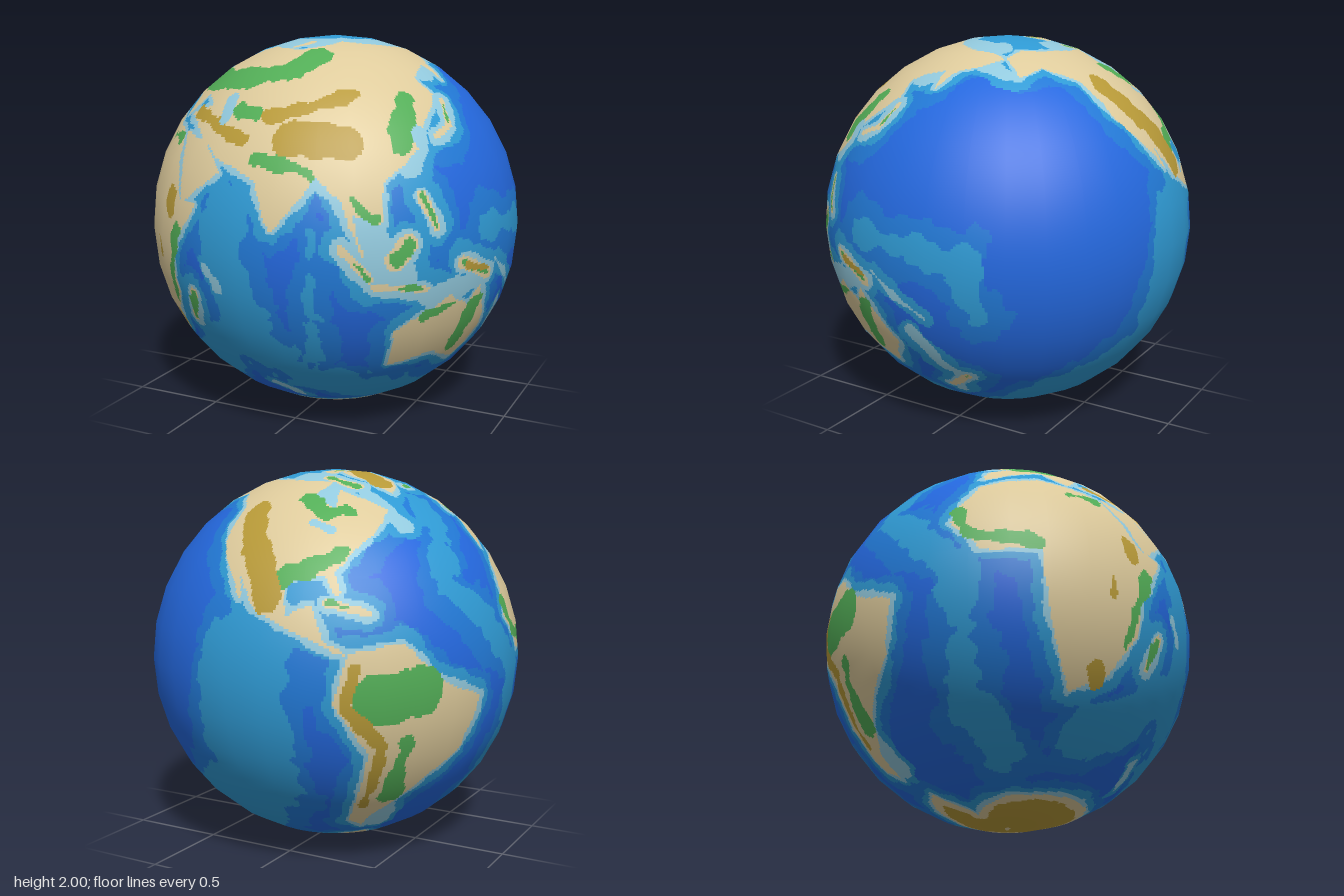
import * as THREE from 'three';

const COLORS = {
  deepOcean: 0x2468de, midOcean: 0x2279d6, slopeOcean: 0x2f9ad4, shelfSea: 0x92c9dd,
  lowland: 0x53ae57, upland: 0xdecb9c, highland: 0xb89a38,
};
const FRONT_LON = 70.5;          // longitude that faces +z
const SIDES = 32, RINGS = 16;    // facets of the ball
const SUB = 16;                  // colour cells along each facet edge
const rad = Math.PI / 180;

// Regions are closed outlines or open strokes in lon, lat; a higher rank covers a lower one.
const regions = [];
function region(rank, color, grow, rough, closed, pts) {
  const lons = pts.filter((_, i) => i % 2 === 0), lats = pts.filter((_, i) => i % 2 === 1);
  const pad = Math.max(0, grow) + rough * 1.2;
  const lat0 = Math.min(...lats) - pad, lat1 = Math.max(...lats) + pad;
  const lon0 = Math.min(...lons), lon1 = Math.max(...lons);
  regions.push({ rank, color, grow, rough, closed, pts, pad, lat0, lat1, lon0, lon1, seed: regions.length % 3 });
}
// Sea floor steps down away from every shore
function shore(width, closed, pts) {
  region(1, 'midOcean', width + 7, 2.5, closed, pts);
  region(2, 'slopeOcean', width + 3.8, 2, closed, pts);
  region(3, 'shelfSea', width + 1.6, 1.1, closed, pts);
}
function land(...pts) {
  shore(0, true, pts);
  region(4, 'upland', 0.3, 0.8, true, pts);
}
function island(radius, ...pts) {
  shore(radius, false, pts);
  region(4, 'upland', radius, 0.7, false, pts);
  region(5, 'lowland', radius - 1.2, 1.6, false, pts);
}
function ridge(radius, ...pts) {
  region(1, 'midOcean', radius + 5, 4, false, pts);
  region(2, 'slopeOcean', radius, 4, false, pts);
}
function shelf(radius, ...pts) {
  region(2, 'slopeOcean', radius + 2.5, 2, false, pts);
  region(3, 'shelfSea', radius, 1.8, false, pts);
}
const low = (radius, ...pts) => region(6, 'lowland', radius, 2, false, pts);
const high = (radius, ...pts) => region(7, 'highland', radius, 1.5, false, pts);
const lake = (radius, ...pts) => region(8, 'shelfSea', radius, 0.8, false, pts);

function defineContinents() {
  // Africa
  land(-17,15, -10,31, 10,37, 33,31, 43,11.5, 51,12, 40,-4, 40,-15, 32,-28, 19,-34.5, 12,-16, 9,4, -8,4.5);
  // Arabia
  land(35,32, 48,30, 59,22, 45,13);
  // Europe and Asia
  land(-9,37, -9,43, 8,54, 22,56, 6,59, 25,71, 68,69, 104,77, 180,69, 190,66, 163,60, 157,52, 156,60, 137,54, 140,47,
    127,36, 119,39, 122,30, 109,21, 108,10, 100,13, 103,2, 97,16, 90,22, 78,8, 72,21, 57,26, 48,30, 36,36, 27,38,
    40,42, 30,46, 22,37, 14,45, 0,41);
  // North America
  land(-168,66, -156,71, -82,68, -94,59, -80,52, -77,62, -56,52, -66,44, -81,31, -80,25, -84,30, -97,28, -95,18, -88,21,
    -84,11, -78,8, -105,20, -112,30, -110,23, -124,40, -130,54, -148,61, -162,57);
  // Greenland
  land(-70,78, -53,69, -45,60, -22,71, -12,81, -45,83);
  // South America
  land(-77,8, -62,11, -50,0, -35,-6, -40,-21, -57,-37, -66,-47, -67,-55, -74,-50, -71,-20, -81,-5);
  // Australia
  land(114,-22, 115,-34, 131,-32, 146,-39, 153,-28, 143,-11, 139,-17, 131,-12);
  // Antarctica, with an ice cap inside the coast
  const south = [-200,-78, -150,-77, -100,-73, -60,-64, -45,-78, 0,-70, 50,-67, 135,-66, 168,-72, 168,-78, 200,-78, 200,-99, -200,-99];
  land(...south);
  region(7, 'highland', -2.5, 1.5, true, south);
}

function defineIslands() {
  island(1.7, 46,-23, 49,-14);
  island(2, 134,-3, 146,-8);
  island(3, 112,0, 116,4);
  island(1.5, 97,4, 105,-5);
  island(1, 106,-7, 122,-9);
  island(1.3, 121,17, 125,8);
  island(1.2, 131,33, 139,36, 143,44);
  island(1.2, 168,-46, 177,-39);
  island(1.7, -1,52, -4,57);
  island(1.4, -22,65, -16,65);
  island(0.9, -83,22, -71,19);
  island(2.2, -66,65, -86,72);
  island(2, -85,79, -68,82);
  island(1, 54,72, 66,76);
}

function defineSeaFloor() {
  // Submarine ridges and the polar sea
  ridge(5, -30,58, -45,26, -14,0, -14,-42, 0,-54);
  ridge(7, 62,14, 68,-24, 30,-48);
  ridge(1, 89,8, 89,-30);
  ridge(7, 68,-24, 85,-42, 150,-58);
  ridge(14, 255,10, 250,-34, 205,-62);
  ridge(4, 145,6, 178,2, 184,-14);
  ridge(22, -180,90, 180,90);
  // Shallow shelves
  shelf(5, 104,5, 114,-4);
  shelf(4, 119,25, 124,36);
  shelf(3, 141,55, 155,57);
  shelf(4.5, 25,74, 100,78, 180,72);
  shelf(3, 180,62, 196,57);
  shelf(4, -6,53, 4,58);
  shelf(4, -62,-42, -61,-52);
  shelf(3, -52,46, -61,58);
  shelf(5, -87,58, -76,66, -105,73);
  shelf(4, 125,-11, 142,-9);
  shelf(2, 161,-22, 173,-38, 171,-50);
  shelf(1, 70,-48, 80,-57);
  shelf(0.6, 56,-5, 61,-11);
  shelf(0.6, 150,-5, 167,-16);
}

function defineRelief() {
  // Lowland plains
  low(5, 8,50, 40,53, 72,57, 84,66);
  low(3, 59,41, 66,41);
  low(3, 117,31, 118,36, 125,46);
  low(1.8, 71,27, 88,24);
  low(1.5, 100,17, 106,11);
  low(1.8, 20,30, 31,30);
  low(2, -15,19, -12,10, 8,6);
  low(1.6, 36,-20, 39,-8, 43,4);
  low(2.5, -96,29, -86,33, -78,37);
  low(2.5, -94,58, -84,51, -76,52);
  low(7, -70,-5, -56,-2);
  low(2.8, -60,-18, -61,-36);
  low(3, 143,-17, 140,-31);
  low(1.6, 122,-18, 133,-15);
  // Mountains and plateaus
  high(5, 82,34, 99,32);
  high(2.5, 72,40, 85,43, 104,48);
  high(2.6, 33,39, 46,37, 63,32);
  high(2, 38,8, 38,13);
  high(1, 30,0, 30,-6);
  high(2.3, 27,-27, 28,-30);
  high(4, -118,52, -113,42, -107,35, -101,22);
  high(2, -75,5, -78,-6, -67,-18, -70,-40);
  high(4.5, -36,79, -44,68);
  high(0.8, 136,-4, 146,-7);
  // Inland seas
  lake(1.8, 50,45, 52,38);
  lake(1.3, -89,47, -82,44);
}

// Distance in degrees from a point to a line, positive inside a closed one
function signedDistance({ pts, closed }, x, y) {
  const k = Math.max(0.05, Math.cos(y * rad)), n = pts.length;
  let inside = false, best = Infinity;
  for (let i = closed ? 0 : 2; i < n; i += 2) {
    const j = (i + n - 2) % n, ax = pts[j], ay = pts[j + 1], bx = pts[i], by = pts[i + 1];
    if (closed && (ay > y) !== (by > y) && x < ax + (y - ay) / (by - ay) * (bx - ax)) inside = !inside;
    const dx = (bx - ax) * k, dy = by - ay, px = (x - ax) * k, py = y - ay;
    const t = Math.min(1, Math.max(0, (px * dx + py * dy) / (dx * dx + dy * dy)));
    best = Math.min(best, (px - t * dx) ** 2 + (py - t * dy) ** 2);
  }
  return Math.sqrt(best) * (inside ? 1 : -1);
}

// Smooth ripple that roughens the outlines
function ripple(p, s) {
  const wave = (f, a) => Math.sin(f * p.x + a + 2 * Math.sin(f * 0.7 * p.y + a)) * Math.sin(f * p.z - a + 2 * Math.sin(f * 0.6 * p.x + s));
  return 0.5 * wave(8, s) + 0.4 * wave(19, s * 2 + 1) + 0.3 * wave(41, s * 3 + 2);
}

const direction = (lon, lat) => new THREE.Vector3().setFromSphericalCoords(1, (90 - lat) * rad, (lon - FRONT_LON) * rad);

function colorAt(lon, lat) {
  const p = direction(lon, lat), noise = [0, 1, 2].map(s => ripple(p, s * 1.7));
  for (const r of regions) {
    if (lat < r.lat0 || lat > r.lat1) continue;
    const x = lon - 360 * Math.round((lon - (r.lon0 + r.lon1) / 2) / 360);
    const pad = r.pad / Math.max(0.05, Math.cos(lat * rad));
    if (x < r.lon0 - pad || x > r.lon1 + pad) continue;
    if (signedDistance(r, x, lat) + r.rough * noise[r.seed] > -r.grow) return r.color;
  }
  return 'deepOcean';
}

// Point on the faceted ball, in facet units
function facetPoint(u, v, col) {
  const row = Math.min(RINGS - 1, Math.floor(v)), fu = u - col, fv = v - row;
  const corner = (c, r) => direction(-180 + c * 360 / SIDES, 90 - r * 180 / RINGS);
  return corner(col, row).lerp(corner(col + 1, row), fu).lerp(corner(col, row + 1).lerp(corner(col + 1, row + 1), fu), fv);
}

export function createModel() {
  regions.length = 0;
  defineContinents(); defineIslands(); defineSeaFloor(); defineRelief();
  regions.sort((a, b) => b.rank - a.rank);
  const faces = Object.fromEntries(Object.keys(COLORS).map(name => [name, { pos: [], nor: [] }]));

  // Each row of each facet is cut into strips of one colour
  for (let j = 0; j < RINGS * SUB; j++) for (let col = 0; col < SIDES; col++) {
    const lat = 90 - (j + 0.5) * 180 / (RINGS * SUB);
    const cells = Array.from({ length: SUB }, (_, i) => colorAt(-180 + (col + (i + 0.5) / SUB) * 360 / SIDES, lat));
    for (let a = 0, b; a < SUB; a = b) {
      for (b = a + 1; b < SUB && cells[b] === cells[a];) b++;
      const u0 = col + a / SUB, u1 = col + b / SUB, v0 = j / SUB, v1 = (j + 1) / SUB;
      const [nw, ne, se, sw] = [[u0, v0], [u1, v0], [u1, v1], [u0, v1]].map(([u, v]) => facetPoint(u, v, col));
      for (const p of [nw, sw, ne, sw, se, ne]) {
        faces[cells[a]].pos.push(p.x, p.y + 1, p.z);
        faces[cells[a]].nor.push(...p.clone().normalize().toArray());
      }
    }
  }

  const globe = new THREE.Group();
  globe.name = 'globe';
  for (const [name, { pos, nor }] of Object.entries(faces)) {
    const geometry = new THREE.BufferGeometry();
    geometry.setAttribute('position', new THREE.Float32BufferAttribute(pos, 3));
    geometry.setAttribute('normal', new THREE.Float32BufferAttribute(nor, 3));
    const material = new THREE.MeshStandardMaterial({ color: COLORS[name] });
    material.name = name + 'Color';
    const mesh = new THREE.Mesh(geometry, material);
    mesh.name = name;
    globe.add(mesh);
  }
  return globe;
}
